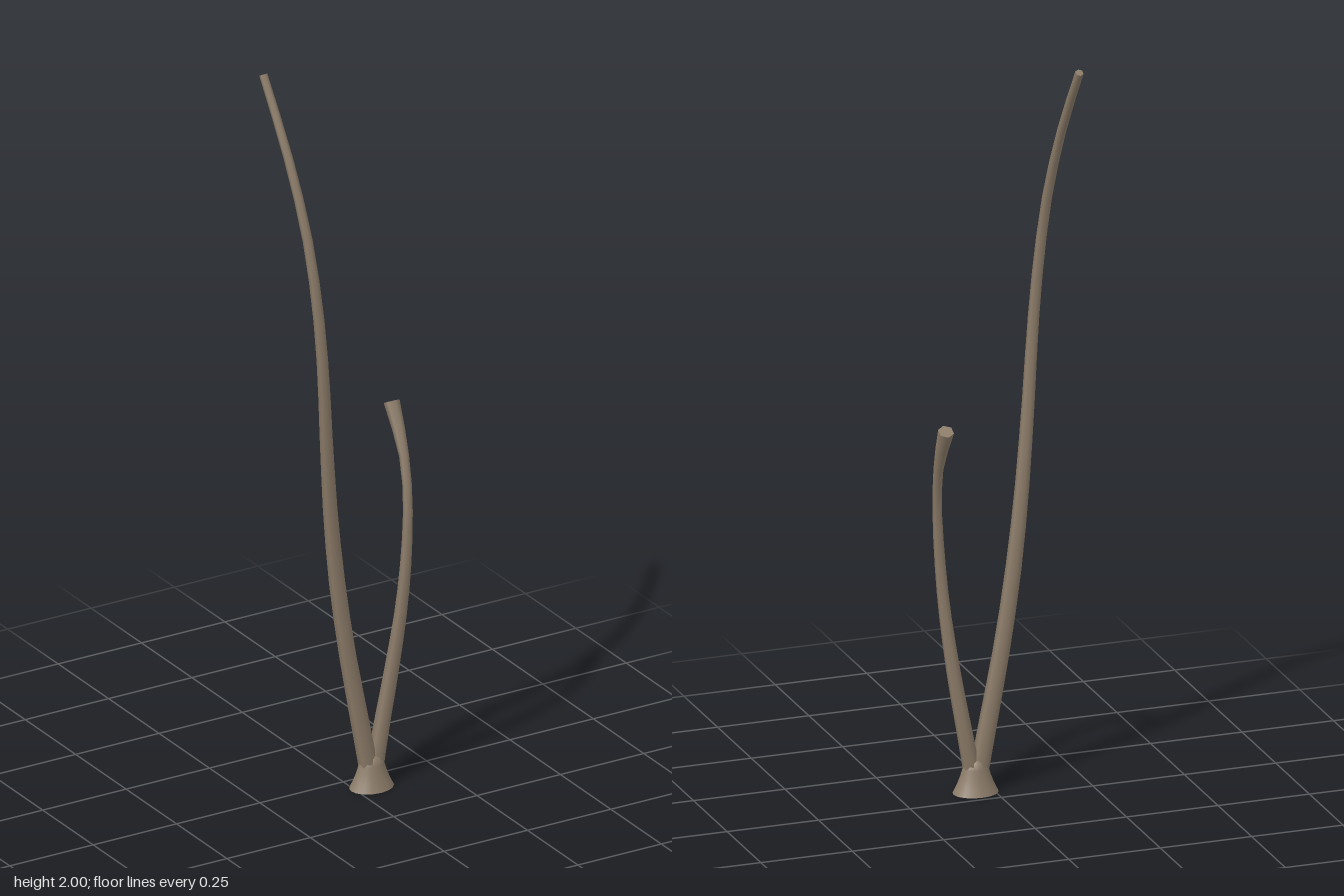
import * as THREE from 'three';

const SIDES = 6;

// Tapered six-sided stem along the points [x, y, z, radius], closed by a flat tip
function stem(name, points, segments, material) {
  const curve = new THREE.CatmullRomCurve3(points.map(([x, y, z]) => new THREE.Vector3(x, y, z)));
  const radiusAt = (y) => {
    let k = 1;
    while (k < points.length - 1 && points[k][1] < y) k++;
    const [a, b] = [points[k - 1], points[k]];
    return THREE.MathUtils.lerp(a[3], b[3], THREE.MathUtils.clamp((y - a[1]) / (b[1] - a[1]), 0, 1));
  };
  const tube = new THREE.TubeGeometry(curve, segments, 1, SIDES, false);
  const pos = tube.attributes.position;
  const v = new THREE.Vector3();
  const rim = [];
  for (let i = 0; i <= segments; i++) {
    const centre = curve.getPointAt(i / segments);
    const r = radiusAt(centre.y);
    for (let j = 0; j <= SIDES; j++) {
      const n = i * (SIDES + 1) + j;
      v.fromBufferAttribute(pos, n).sub(centre).multiplyScalar(r).add(centre);
      pos.setXYZ(n, v.x, v.y, v.z);
      if (i === segments) rim.push(v.clone());
    }
  }

  // End cap fan
  const end = curve.getPointAt(1);
  const fan = [];
  for (let j = 0; j < SIDES; j++) fan.push(end, rim[j], rim[j + 1]);
  const cap = new THREE.BufferGeometry().setFromPoints(fan);
  cap.computeVertexNormals();

  const group = new THREE.Group();
  group.name = name;
  const body = new THREE.Mesh(tube, material);
  body.name = name + 'Body';
  const tip = new THREE.Mesh(cap, material);
  tip.name = name + 'Tip';
  group.add(body, tip);
  return group;
}

export function createModel() {
  const model = new THREE.Group();
  model.name = 'forkedBranch';
  const bark = new THREE.MeshStandardMaterial({ color: 0x8c7c69, side: THREE.DoubleSide });
  bark.name = 'bark';

  // Flared foot, open underneath and rounded over where the stems fork
  const profile = [[0.061, 0], [0.050, 0.022], [0.041, 0.045], [0.035, 0.065], [0.029, 0.085], [0, 0.1]];
  const foot = new THREE.Mesh(
    new THREE.LatheGeometry(profile.map(([r, y]) => new THREE.Vector2(r, y)), 16), bark);
  foot.name = 'foot';
  foot.scale.z = 0.79;
  foot.position.set(0.048, 0, 0.061);
  model.add(foot);

  // Tall stem leaning right and sweeping backwards at the top
  model.add(stem('tallStem', [
    [0.040, 0.05, 0.061, 0.025],
    [0.012, 0.20, 0.060, 0.024],
    [-0.025, 0.40, 0.059, 0.022],
    [-0.056, 0.60, 0.062, 0.021],
    [-0.082, 0.80, 0.073, 0.019],
    [-0.104, 1.00, 0.090, 0.017],
    [-0.126, 1.25, 0.106, 0.015],
    [-0.140, 1.42, 0.102, 0.014],
    [-0.153, 1.60, 0.074, 0.013],
    [-0.165, 1.80, 0.000, 0.012],
    [-0.172, 1.993, -0.112, 0.011],
  ], 18, bark));

  // Short stem on the left with a slightly thickened tip
  model.add(stem('shortStem', [
    [0.057, 0.05, 0.061, 0.023],
    [0.079, 0.17, 0.061, 0.021],
    [0.104, 0.32, 0.068, 0.019],
    [0.126, 0.50, 0.081, 0.016],
    [0.139, 0.66, 0.085, 0.014],
    [0.149, 0.80, 0.073, 0.012],
    [0.157, 0.91, 0.039, 0.013],
    [0.161, 1.026, -0.026, 0.021],
  ], 14, bark));

  return model;
}
